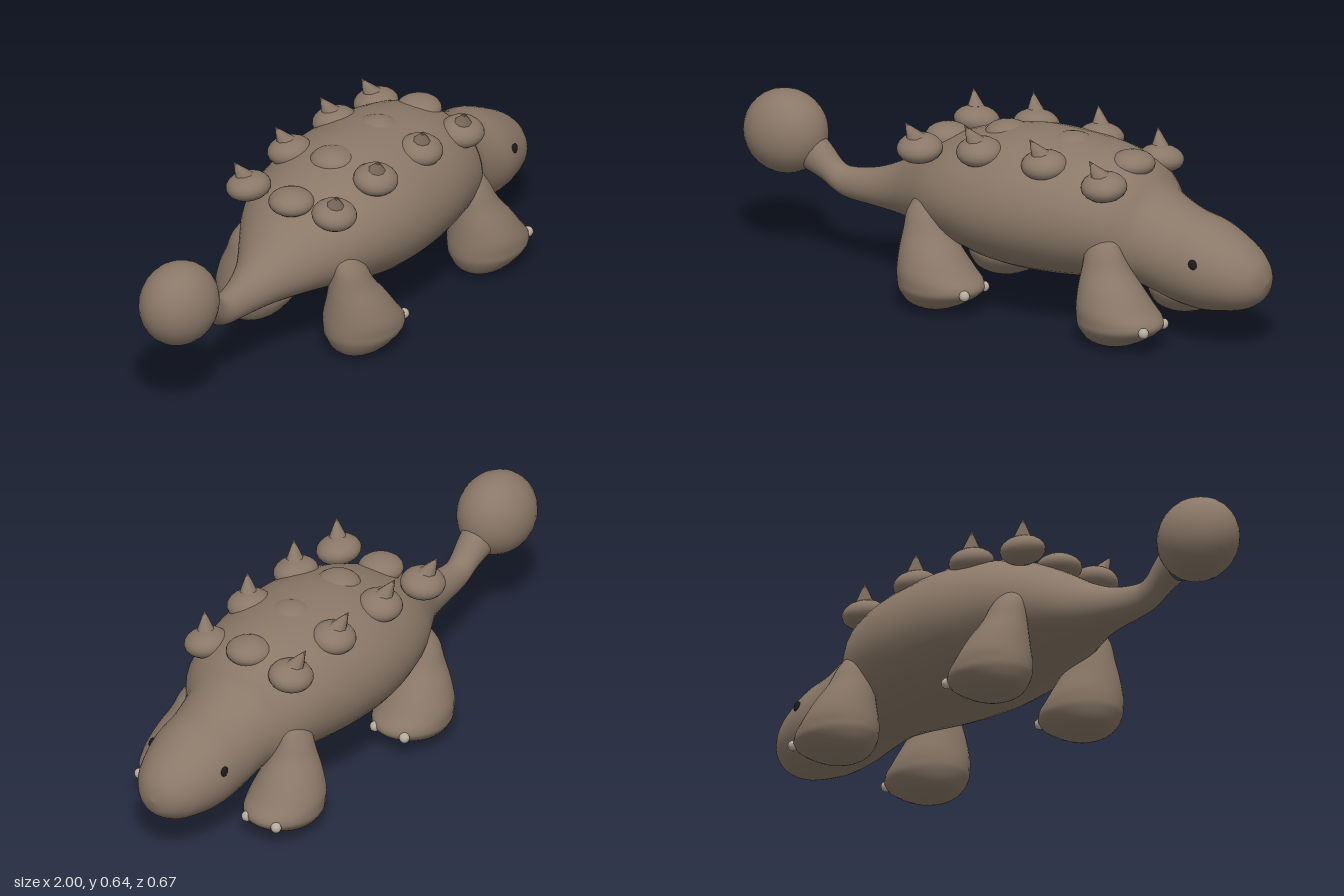
import * as THREE from 'three';

const skin = new THREE.MeshStandardMaterial({ color: 0x8a7868 });
const clawMat = new THREE.MeshStandardMaterial({ color: 0xb8ae9e });
const eyeMat = new THREE.MeshStandardMaterial({ color: 0x1c1c1c });

// Smooth skin through stations; place(row, angle) gives a point on the ring
function loft(rows, place, sides = 40, steps = 4) {
  const pos = [], index = [];
  const at = i => rows[Math.min(Math.max(i, 0), rows.length - 1)];
  const total = (rows.length - 1) * steps;
  for (let s = 0; s <= total; s++) {
    const i = Math.min(Math.floor(s / steps), rows.length - 2);
    const t = s / steps - i;
    const row = at(i).map((p1, k) => {
      const p0 = at(i - 1)[k], p2 = at(i + 1)[k], p3 = at(i + 2)[k];
      const m1 = (p2 - p0) / 2, m2 = (p3 - p1) / 2;
      return p1 + m1 * t + (3 * (p2 - p1) - 2 * m1 - m2) * t * t
        + (2 * (p1 - p2) + m1 + m2) * t * t * t;
    });
    for (let j = 0; j < sides; j++) pos.push(...place(row, j / sides * Math.PI * 2));
  }
  for (let s = 0; s < total; s++) {
    for (let j = 0; j < sides; j++) {
      const k = (j + 1) % sides;
      const a = s * sides + j, b = a + sides, c = (s + 1) * sides + k, d = s * sides + k;
      index.push(a, b, c, a, c, d);
    }
  }
  const geo = new THREE.BufferGeometry();
  geo.setAttribute('position', new THREE.Float32BufferAttribute(pos, 3));
  geo.setIndex(index);
  geo.computeVertexNormals();
  return geo;
}

export function createModel() {
  const group = new THREE.Group();

  const add = (name, geo, mat = skin) => {
    const mesh = new THREE.Mesh(geo, mat);
    mesh.name = name;
    group.add(mesh);
    return mesh;
  };
  const ball = (name, p, r, mat = skin, seg = 24) => {
    const mesh = add(name, new THREE.SphereGeometry(1, seg, seg / 2), mat);
    mesh.position.set(...p);
    mesh.scale.set(...r);
    return mesh;
  };

  // Tail, body and head: x, bottom, top, half width
  const bodyRows = [
    [-0.76, 0.30, 0.45, 0.06], [-0.70, 0.275, 0.40, 0.05], [-0.65, 0.245, 0.348, 0.045],
    [-0.60, 0.23, 0.336, 0.046], [-0.50, 0.225, 0.355, 0.065], [-0.40, 0.22, 0.40, 0.10],
    [-0.30, 0.212, 0.465, 0.16], [-0.20, 0.20, 0.525, 0.222], [-0.10, 0.178, 0.565, 0.262],
    [0.00, 0.155, 0.59, 0.285], [0.10, 0.145, 0.604, 0.296], [0.20, 0.145, 0.605, 0.295],
    [0.30, 0.15, 0.60, 0.286], [0.40, 0.16, 0.588, 0.266], [0.50, 0.17, 0.558, 0.235],
    [0.55, 0.165, 0.525, 0.204], [0.60, 0.148, 0.48, 0.174], [0.70, 0.12, 0.435, 0.162],
    [0.80, 0.112, 0.41, 0.156], [0.90, 0.128, 0.36, 0.126], [0.95, 0.148, 0.325, 0.095],
    [0.985, 0.18, 0.285, 0.055], [1.00, 0.23, 0.23, 0],
  ];
  add('body', loft(bodyRows, ([x, lo, hi, w], a) =>
    [x, (lo + hi) / 2 + (hi - lo) / 2 * Math.sin(a), w * Math.cos(a)]));
  ball('tailClub', [-0.855, 0.415, 0], [0.145, 0.14, 0.125], skin, 32);

  // Legs: y, centre x, centre z, radius x, radius z
  const legRows = [
    [0.002, 0.53, 0.21, 0, 0], [0.006, 0.535, 0.21, 0.05, 0.04], [0.03, 0.545, 0.21, 0.10, 0.085],
    [0.07, 0.565, 0.212, 0.143, 0.118], [0.10, 0.567, 0.212, 0.15, 0.124],
    [0.14, 0.55, 0.213, 0.132, 0.12], [0.20, 0.53, 0.212, 0.107, 0.098],
    [0.26, 0.51, 0.205, 0.08, 0.072], [0.32, 0.50, 0.20, 0.062, 0.05],
    [0.37, 0.50, 0.17, 0.04, 0.04], [0.38, 0.50, 0.17, 0, 0],
  ];
  for (const side of [1, -1]) {
    const label = side > 0 ? 'left' : 'right';
    for (const [pair, dx] of [['Front', 0], ['Hind', -0.69]]) {
      add(label + pair + 'Leg', loft(legRows, ([y, cx, cz, rx, rz], a) =>
        [cx + dx + rx * Math.cos(a), y, side * cz + rz * Math.sin(a)], 28));
      for (const z of [0.158, 0.277]) {
        ball(label + pair + 'Claw', [0.7 + dx, 0.086, side * z], [0.018, 0.018, 0.018], clawMat, 12);
      }
    }
    ball(label + 'Eye', [0.805, 0.303, side * 0.147], [0.016, 0.018, 0.008], eyeMat, 16);
  }

  // Three rows of back knobs: x, outer y, middle y, middle radius
  const knobs = [
    [-0.23, 0.52, 0.515, 0.075], [0.0, 0.55, 0.566, 0.075],
    [0.25, 0.55, 0.571, 0.075], [0.48, 0.518, 0.55, 0.075],
  ];
  for (const [x, y, midY, r] of knobs) {
    ball('middleKnob', [x, midY, 0], [r, 0.042, r]);
    for (const side of [1, -1]) {
      const knob = ball('sideKnob', [x, y, side * 0.171], [0.077, 0.046, 0.073]);
      knob.rotation.x = side * 0.15;
      // Spike leaning back and outward
      const base = new THREE.Vector3(x - 0.008, y + 0.03, side * 0.18);
      const tip = new THREE.Vector3(x - 0.035, y + 0.092, side * 0.206);
      const dir = tip.clone().sub(base);
      const spike = add('spike', new THREE.ConeGeometry(0.033, dir.length(), 8));
      spike.position.copy(base).lerp(tip, 0.5);
      spike.quaternion.setFromUnitVectors(new THREE.Vector3(0, 1, 0), dir.normalize());
    }
  }
  return group;
}
